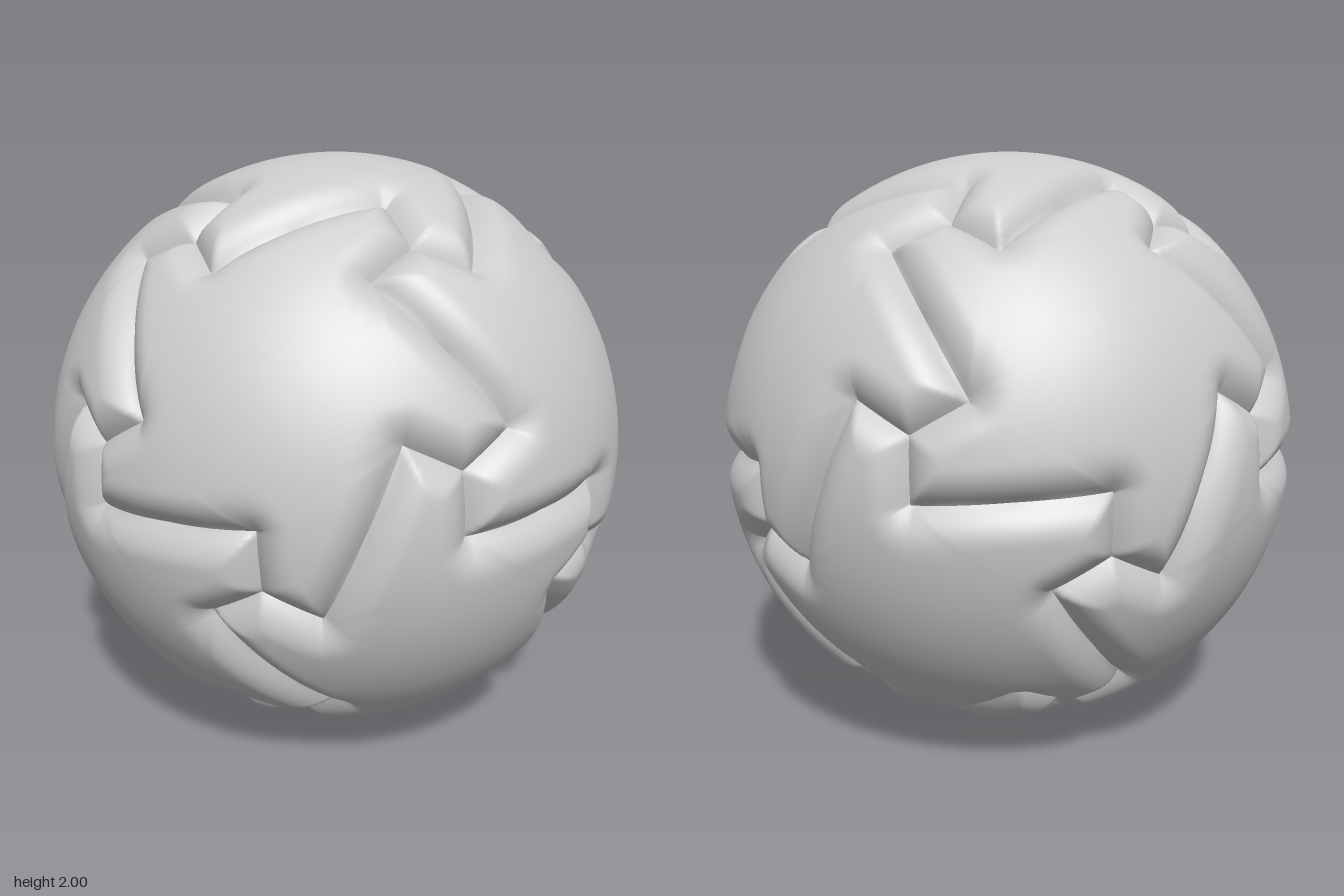
import * as THREE from 'three';
import { mergeVertices } from 'three/addons/utils/BufferGeometryUtils.js';

const UP = new THREE.Vector3(0, 1, 0);
const STEP = (Math.PI * 2) / 5;
const DEPTH = 0.06;        // groove depth
const BEVEL = 0.115;       // width of the rounded shoulder
const ACROSS = 26, ALONG = 26, CORE = 12;

// Corner of the top face of a dodecahedron, on the unit sphere
const corner = (a) => new THREE.Vector3().setFromSphericalCoords(1, 0.6524, a);
const turn = (v, k) => v.clone().applyAxisAngle(UP, -STEP * k);

// One zigzag edge: from -> knee -> tip -> to, symmetric about its middle
const from = corner(STEP), to = corner(0);
const mid = from.clone().add(to).normalize();
const along = to.clone().sub(from).normalize();
const inward = along.clone().cross(mid);
const zig = (s) => mid.clone().addScaledVector(along, 0.258 * s).addScaledVector(inward, -0.185 * s).normalize();
const knee = zig(-1), tip = zig(1);

// Outline of the panel, as great-arc segments
const outline = [];
for (let k = 0; k < 5; k++) {
  const p = [from, knee, tip, to].map((v) => turn(v, k));
  for (let i = 0; i < 3; i++) outline.push(new THREE.Line3(p[i], p[i + 1]));
}

// Surface radius falls off in a rounded shoulder towards the outline
const near = new THREE.Vector3();
function radiusAt(dir) {
  let d = BEVEL;
  for (const seg of outline) {
    seg.closestPointToPoint(dir, true, near);
    d = Math.min(d, near.angleTo(dir));
  }
  const t = 1 - d / BEVEL;
  return 1 - DEPTH * t * t;
}

// Four-cornered grid blown out onto the sphere
function addPatch(pos, idx, a, b, c, d, nu, nv) {
  const base = pos.length / 3;
  const p = new THREE.Vector3(), q = new THREE.Vector3();
  for (let j = 0; j <= nv; j++) {
    for (let i = 0; i <= nu; i++) {
      p.lerpVectors(a, b, i / nu);
      q.lerpVectors(c, d, i / nu);
      p.lerp(q, j / nv).normalize();
      p.multiplyScalar(radiusAt(p));
      pos.push(p.x, p.y, p.z);
      if (i < nu && j < nv) {
        const n = base + j * (nu + 1) + i, m = n + nu + 1;
        idx.push(n, m, n + 1, n + 1, m, m + 1);
      }
    }
  }
}

// Pinwheel panel: five core wedges and five hooked arms
function panelGeometry() {
  const pos = [], idx = [];
  for (let k = 0; k < 5; k++) {
    const k0 = turn(knee, k), k1 = turn(knee, k + 1);
    addPatch(pos, idx, UP, k0, UP, k1, CORE, ACROSS);
    addPatch(pos, idx, k0, turn(tip, k), k1, turn(to, k), ALONG, ACROSS);
  }
  let g = new THREE.BufferGeometry();
  g.setAttribute('position', new THREE.Float32BufferAttribute(pos, 3));
  g.setIndex(idx);
  g = mergeVertices(g, 1e-5);
  g.computeVertexNormals();
  return g;
}

export function createModel() {
  const model = new THREE.Group();
  model.name = 'interlockingBall';
  const geometry = panelGeometry();
  const material = new THREE.MeshStandardMaterial({ color: 0xcccccc });

  // Half turns about the edge middles carry the top panel to its neighbours
  const turns = [new THREE.Quaternion()];
  for (let k = 0; k < 5; k++) {
    turns.push(new THREE.Quaternion().setFromAxisAngle(turn(mid, k), Math.PI));
  }
  const flip = new THREE.Quaternion().setFromAxisAngle(new THREE.Vector3(1, 0, 0), Math.PI);
  for (const half of ['upper', 'lower']) {
    turns.forEach((q, i) => {
      const panel = new THREE.Mesh(geometry, material);
      panel.name = `${half}Panel${i + 1}`;
      panel.quaternion.copy(q);
      if (half === 'lower') panel.quaternion.premultiply(flip);
      panel.position.y = 1;
      model.add(panel);
    });
  }
  return model;
}
